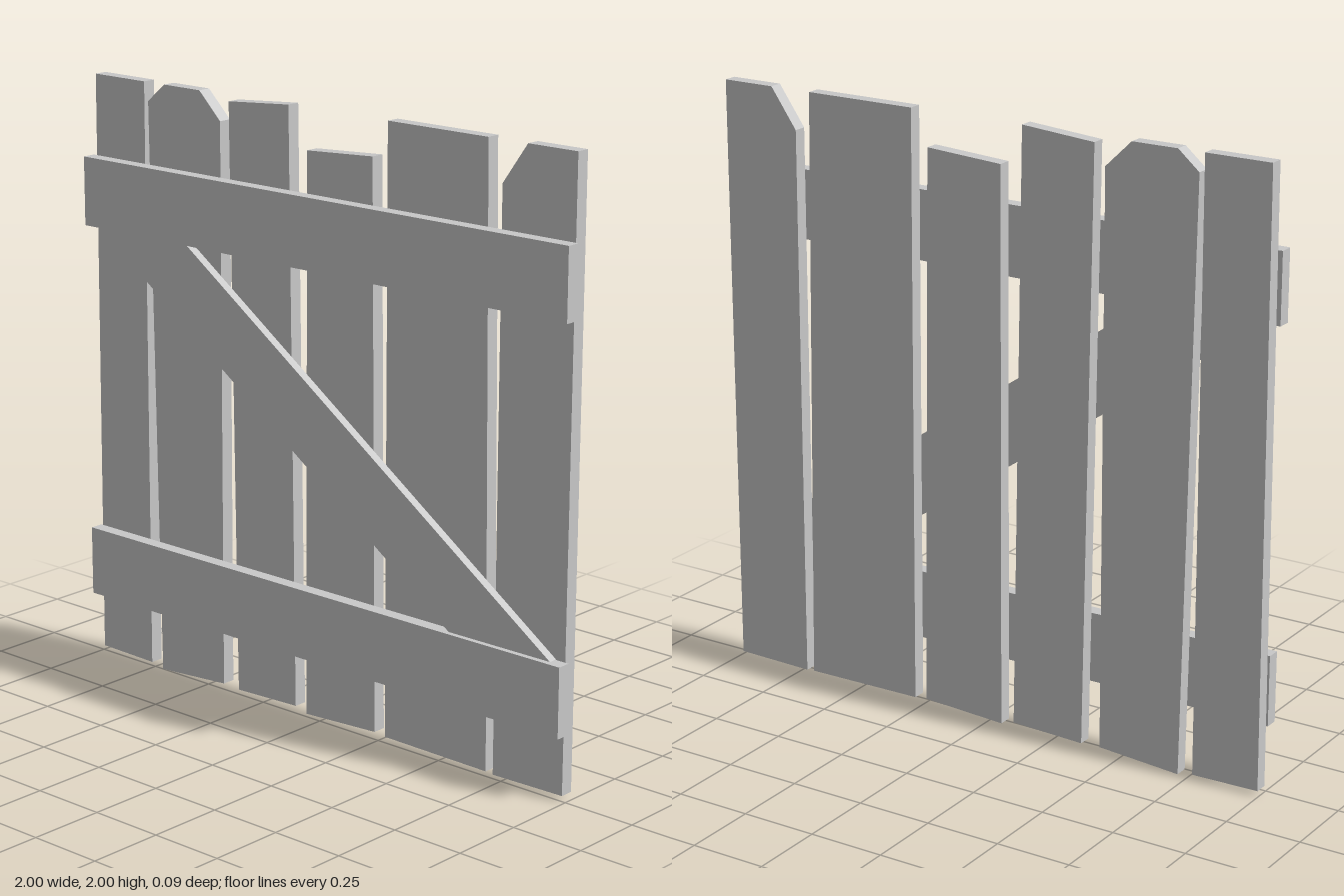
import * as THREE from 'three';

const PLANK = 0.045, RAIL = 0.045, BRACE = 0.03;

export function createModel() {
  const gate = new THREE.Group();
  gate.name = 'gate';
  const wood = new THREE.MeshStandardMaterial({ color: 0xc8c8c8 });
  wood.name = 'grey wood';

  // Cut a flat board from an outline, with its back face at z
  const board = (name, outline, depth, z) => {
    const shape = new THREE.Shape(outline.map(([x, y]) => new THREE.Vector2(x, y)));
    const geometry = new THREE.ExtrudeGeometry(shape, { depth, bevelEnabled: false });
    const mesh = new THREE.Mesh(geometry, wood);
    mesh.name = name;
    mesh.position.z = z;
    gate.add(mesh);
  };

  // Uneven upright planks, some with clipped corners
  const planks = [
    [[-0.995, 0.016], [-0.765, 0.012], [-0.76, 2], [-0.983, 2]],
    [[-0.713, 0], [-0.428, 0.02], [-0.423, 1.912], [-0.513, 2], [-0.67, 2], [-0.743, 1.938]],
    [[-0.36, 0.016], [-0.105, 0.025], [-0.13, 2], [-0.385, 1.98]],
    [[-0.058, 0.01], [0.235, 0.025], [0.215, 1.883], [-0.053, 1.867]],
    [[0.278, 0.02], [0.69, 0.016], [0.663, 2], [0.275, 2]],
    [[0.718, 0.013], [0.987, 0.018], [0.992, 2], [0.81, 2], [0.718, 1.87]],
  ];
  planks.forEach((outline, i) => board(`plank${i + 1}`, outline, PLANK, -PLANK));

  // Cross rails and the diagonal brace on the front
  board('topRail', [[-1, 1.5], [1, 1.502], [1, 1.733], [-1, 1.73]], RAIL, 0);
  board('bottomRail', [[-1, 0.218], [1, 0.218], [1, 0.448], [-1, 0.452]], RAIL, 0);
  board('diagonalBrace', [[-0.95, 1.5], [0.56, 0.45], [0.953, 0.45], [-0.553, 1.5]], BRACE, 0);

  return gate;
}
